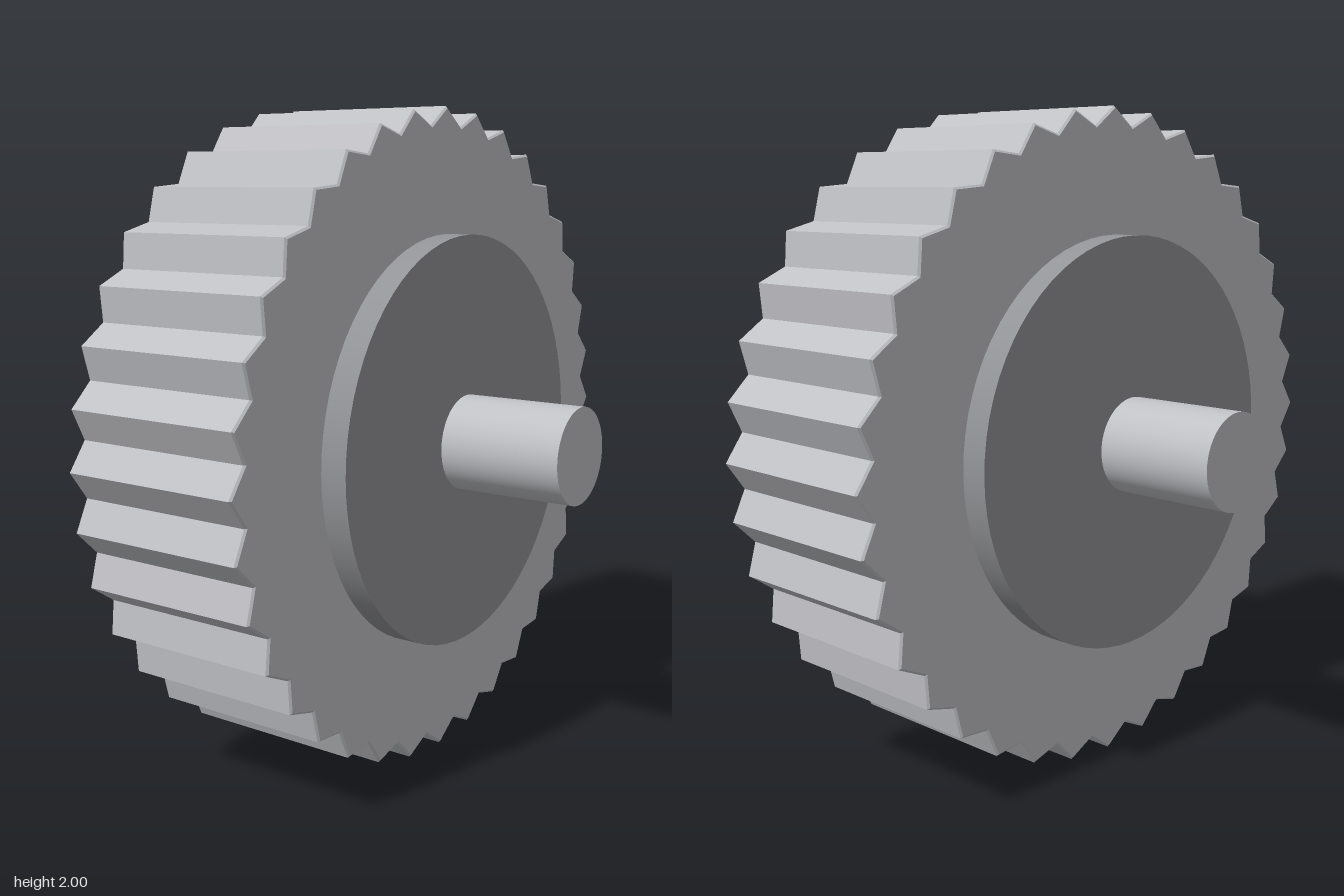
import * as THREE from 'three';

const TEETH = 36;
const TIP = 1.0;
const ROOT = 0.945;
const BEVEL = 0.006;

const lightSteel = new THREE.MeshStandardMaterial({ color: 0xc0c1c5 });
lightSteel.name = 'lightSteel';
const darkSteel = new THREE.MeshStandardMaterial({ color: 0x939497 });
darkSteel.name = 'darkSteel';

// Solid disc or rod lying along the x axis
function rod(name, radius, length, material) {
  const geometry = new THREE.CylinderGeometry(radius, radius, length, 72);
  geometry.rotateZ(Math.PI / 2);
  const mesh = new THREE.Mesh(geometry, material);
  mesh.name = name;
  return mesh;
}

// Zigzag rim with a fine chamfer on both edges
function toothedWheel(width) {
  const points = [];
  for (let i = 0; i < TEETH * 2; i++) {
    const angle = (i * Math.PI) / TEETH;
    const radius = i % 2 ? ROOT : TIP;
    points.push(new THREE.Vector2(Math.cos(angle) * radius, Math.sin(angle) * radius));
  }
  const depth = width - BEVEL * 2;
  const geometry = new THREE.ExtrudeGeometry(new THREE.Shape(points), {
    depth,
    bevelEnabled: true,
    bevelThickness: BEVEL,
    bevelSize: BEVEL,
    bevelOffset: -BEVEL,
    bevelSegments: 1,
  });
  geometry.translate(0, 0, -depth / 2);
  geometry.rotateY(Math.PI / 2);
  const mesh = new THREE.Mesh(geometry, lightSteel);
  mesh.name = 'toothedWheel';
  return mesh;
}

export function createModel() {
  const gear = new THREE.Group();
  gear.name = 'gear';
  gear.add(
    toothedWheel(0.582),
    rod('hub', 0.626, 0.746, darkSteel),
    rod('shaft', 0.145, 1.51, lightSteel),
  );
  gear.position.y = TIP;

  const model = new THREE.Group();
  model.name = 'gearOnShaft';
  model.add(gear);
  return model;
}
